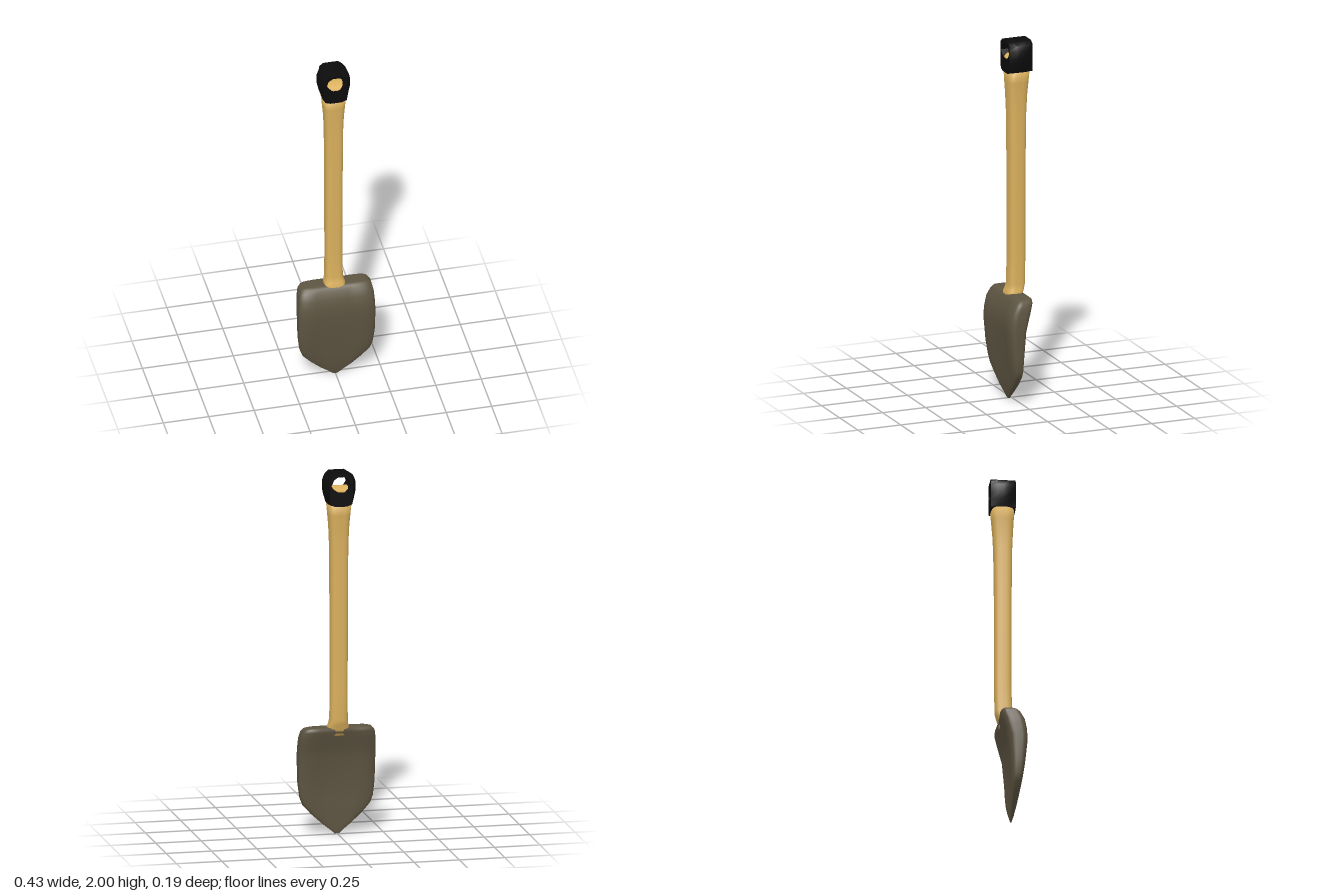
import * as THREE from 'three';
import { toCreasedNormals } from 'three/addons/utils/BufferGeometryUtils.js';

// Closed loft through rounded-rectangle sections [y, halfWidth, zFront, zBack, grooveDepth], bottom to top
function loft(rows, sides, power) {
  const pos = [], idx = [];
  const bend = (v) => Math.sign(v) * Math.pow(Math.abs(v), power);
  rows.forEach(([y, w, zf, zb, groove = 0]) => {
    for (let i = 0; i < sides; i++) {
      const t = ((i + 0.5) / sides) * Math.PI * 2;
      const c = bend(Math.cos(t)), s = bend(Math.sin(t));
      const dip = groove * Math.pow(Math.cos(Math.min(1, Math.abs(c) * 1.2) * Math.PI / 2), 2) * s;
      pos.push(w * c, y, (zf + zb) / 2 + s * (zf - zb) / 2 - dip);
    }
  });
  const last = rows.length - 1;
  for (let r = 0; r < last; r++) {
    for (let i = 0; i < sides; i++) {
      const a = r * sides + i, b = r * sides + (i + 1) % sides;
      idx.push(a, a + sides, b, b, a + sides, b + sides);
    }
  }
  const bottom = pos.length / 3, top = bottom + 1;
  for (const r of [rows[0], rows[last]]) pos.push(0, r[0], (r[2] + r[3]) / 2);
  for (let i = 0; i < sides; i++) {
    const n = (i + 1) % sides;
    idx.push(bottom, i, n, top, last * sides + n, last * sides + i);
  }
  const g = new THREE.BufferGeometry();
  g.setAttribute('position', new THREE.Float32BufferAttribute(pos, 3));
  g.setIndex(idx);
  g.computeVertexNormals();
  return g;
}

export function createModel() {
  const group = new THREE.Group();
  const material = (name, color) => {
    const m = new THREE.MeshStandardMaterial({ color });
    m.name = name;
    return m;
  };
  const wood = material('wood', 0xdab05d);
  const metal = material('dark metal', 0x5e5542);
  const black = material('black grip', 0x0c0c0c);
  const add = (name, geometry, mat) => {
    const mesh = new THREE.Mesh(geometry, mat);
    mesh.name = name;
    group.add(mesh);
  };

  // Thick, softly dished blade tapering to a point
  add('blade', loft([
    [0.0, 0.012, 0.022, 0.014],
    [0.02, 0.035, 0.028, 0.012],
    [0.06, 0.085, 0.04, 0.01, 0.002],
    [0.11, 0.14, 0.05, 0.007, 0.004],
    [0.16, 0.185, 0.06, 0.004, 0.008],
    [0.2, 0.2, 0.067, 0.001, 0.012],
    [0.28, 0.21, 0.079, -0.003, 0.015],
    [0.42, 0.213, 0.094, -0.017, 0.016],
    [0.48, 0.211, 0.09, -0.034, 0.016],
    [0.53, 0.208, 0.08, -0.048, 0.016],
    [0.57, 0.2, 0.058, -0.058, 0.012],
    [0.587, 0.187, 0.042, -0.057, 0.008],
    [0.594, 0.165, 0.027, -0.048, 0.004],
  ], 40, 0.45), metal);

  // Handle: bent and flared neck, straight shaft, wider top
  add('handle', loft([
    [0.55, 0.062, 0.045, -0.045],
    [0.59, 0.06, 0.038, -0.054],
    [0.61, 0.053, 0.032, -0.062],
    [0.64, 0.048, 0.022, -0.07],
    [0.8, 0.047, 0.02, -0.072],
    [1.3, 0.048, 0.02, -0.073],
    [1.6, 0.05, 0.023, -0.077],
    [1.7, 0.054, 0.027, -0.082],
    [1.77, 0.06, 0.031, -0.088],
    [1.84, 0.067, 0.034, -0.094],
  ], 20, 0.62), wood);

  // Grip: outline with a hand hole, side corners drawn in at front and back
  const half = [[0.03, 1.822], [0.066, 1.832], [0.08, 1.875], [0.088, 1.91],
    [0.086, 1.955], [0.075, 1.983], [0.042, 2.0]];
  const mirrored = (pts) => [...pts, ...pts.slice().reverse().map(([x, y]) => [-x, y])]
    .map(([x, y]) => new THREE.Vector2(x, y));
  const outline = new THREE.Shape(mirrored(half));
  outline.holes.push(new THREE.Path(mirrored(
    [[0.014, 1.9], [0.04, 1.915], [0.055, 1.937], [0.04, 1.97], [0.018, 1.985]])));
  const depth = 0.134;
  const grip = new THREE.ExtrudeGeometry(outline, { depth, steps: 4, bevelEnabled: false });
  grip.translate(0, 0, -depth / 2);
  const p = grip.attributes.position;
  for (let i = 0; i < p.count; i++) {
    const x = p.getX(i), over = Math.abs(x) - 0.056;
    const end = Math.abs(p.getZ(i)) / (depth / 2);
    if (over > 0) p.setX(i, Math.sign(x) * (0.056 + over * (end > 0.9 ? 0.25 : end > 0.4 ? 0.93 : 1)));
  }
  grip.translate(0, 0, -0.03);
  add('grip', toCreasedNormals(grip, 0.8), black);

  // Wooden floor of the hand hole, arched from front to back
  const floor = new THREE.BoxGeometry(0.104, 0.036, 0.126, 1, 1, 6);
  const f = floor.attributes.position;
  for (let i = 0; i < f.count; i++) {
    const arch = Math.cos((f.getZ(i) / 0.063) * Math.PI / 2);
    f.setY(i, f.getY(i) > 0 ? 1.906 + 0.02 * arch : 1.88);
  }
  floor.translate(0, 0, -0.03);
  add('gripHoleFloor', toCreasedNormals(floor, 0.8), wood);

  return group;
}
